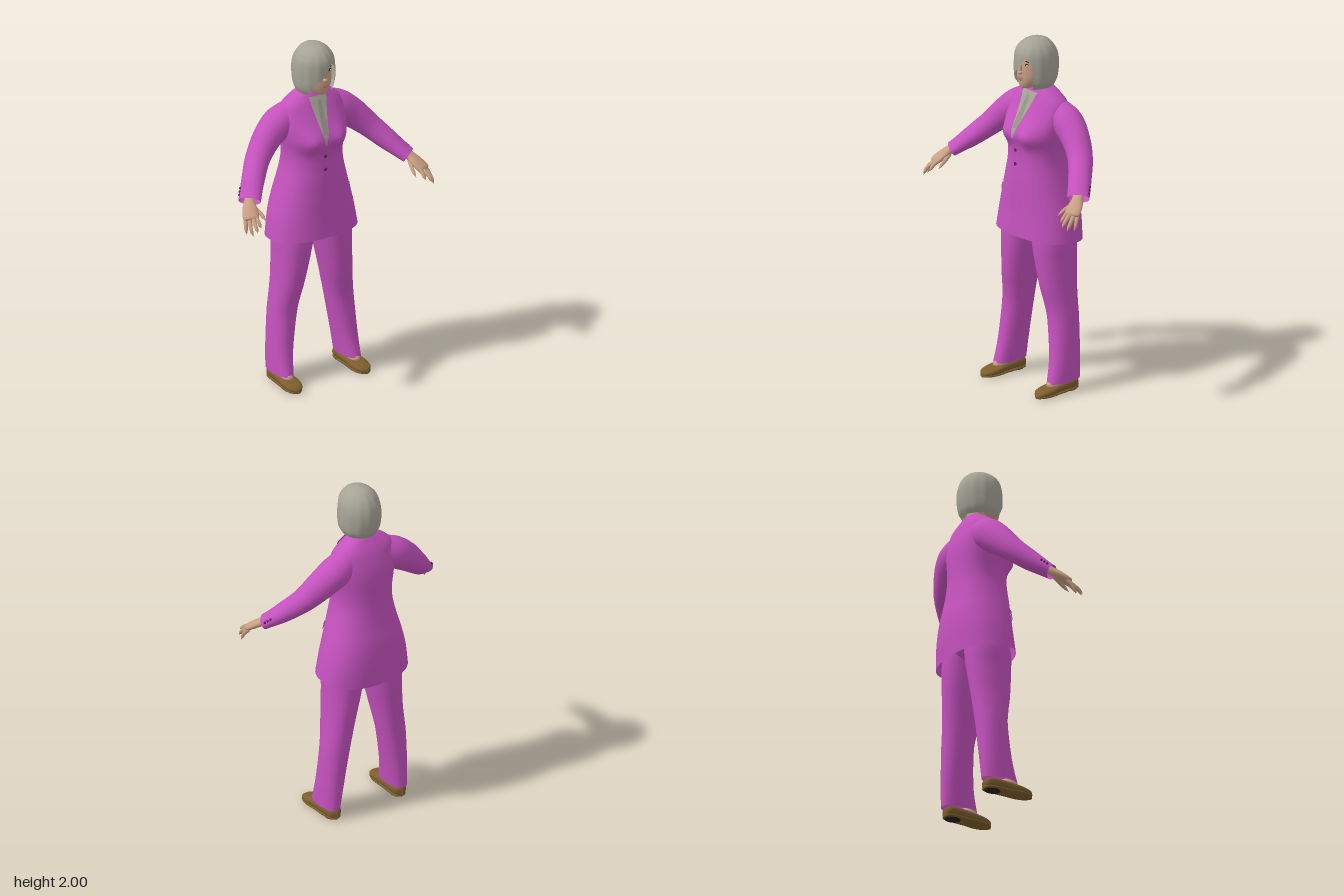
import * as THREE from 'three';

const mat = (name, color) => Object.assign(new THREE.MeshStandardMaterial({ color, side: THREE.DoubleSide }), { name });
const suit = mat('suit', 0xc552be), grey = mat('hairAndShirt', 0xa6a396), tieGrey = mat('tie', 0x959286),
  skin = mat('skin', 0xc99f84), leather = mat('leather', 0x7d5e2e), dark = mat('dark', 0x2a2020),
  button = mat('button', 0x5a2457), lip = mat('lips', 0xa66c60), white = mat('eyeWhite', 0xd8d0c8);

// Surface over (u, v) in 0..1; u runs round the section, v runs along the part
function grid(nu, nv, fn, closed = true) {
  const pos = [], idx = [], cols = closed ? nu : nu + 1;
  for (let j = 0; j <= nv; j++) for (let i = 0; i < cols; i++) pos.push(...fn(i / nu, j / nv));
  for (let j = 0; j < nv; j++) for (let i = 0; i < nu; i++) {
    const a = j * cols + i, b = j * cols + (i + 1) % cols, c = a + cols, d = b + cols;
    idx.push(a, c, b, b, c, d);
  }
  const g = new THREE.BufferGeometry();
  g.setAttribute('position', new THREE.Float32BufferAttribute(pos, 3));
  g.setIndex(idx);
  g.computeVertexNormals();
  return g;
}

// Smooth interpolation of profile rows, by row position v or by height y
function at(P, v) {
  const k = Math.min(v * (P.length - 1), P.length - 1.0001), i = Math.floor(k), t = k - i;
  const r = n => P[Math.max(0, Math.min(P.length - 1, n))];
  return P[0].map((_, c) => {
    const a = r(i - 1)[c], b = r(i)[c], d = r(i + 1)[c], e = r(i + 2)[c];
    return b + 0.5 * t * (d - a + t * (2 * a - 5 * b + 4 * d - e + t * (3 * (b - d) + e - a)));
  });
}
function atHeight(P, y) {
  let lo = 0, hi = 1;
  for (let n = 0; n < 22; n++) { const m = (lo + hi) / 2; if (at(P, m)[0] > y) lo = m; else hi = m; }
  return at(P, lo);
}
const pw = (v, e) => Math.sign(v) * Math.abs(v) ** e;
const TAU = Math.PI * 2;

// Tapered tube through points; radii rows are [horizontal, vertical]
function tubePoint(curve, radii, u, v) {
  const c = curve.getPoint(v), t = curve.getTangent(v), [rh, rv] = at(radii, v);
  const h = new THREE.Vector3(-t.z, 0, t.x).normalize(), w = h.clone().cross(t);
  return c.addScaledVector(h, rh * Math.cos(u * TAU)).addScaledVector(w, rv * Math.sin(u * TAU)).toArray();
}
const path = pts => new THREE.CatmullRomCurve3(pts.map(p => new THREE.Vector3(...p)));
const tube = (pts, radii, nu = 12, nv = 12) => {
  const c = path(pts);
  return grid(nu, nv, (u, v) => tubePoint(c, radii, u, v));
};
const ball = (x, y, z, rx, ry, rz) => new THREE.SphereGeometry(1, 16, 12).scale(rx, ry, rz).translate(x, y, z);

// Jacket rows: height, half width, front z, back z
const TORSO = [[1.72, .07, -.03, -.14], [1.695, .115, -.015, -.155], [1.65, .17, .005, -.18], [1.6, .188, .03, -.198],
  [1.55, .192, .058, -.212], [1.5, .188, .085, -.22], [1.45, .18, .097, -.222], [1.38, .167, .08, -.222],
  [1.3, .168, .08, -.226], [1.2, .19, .088, -.24], [1.1, .218, .092, -.258], [1, .245, .096, -.265], [.88, .266, .105, -.26]];
const E = 0.85;
const bust = (x, y) => 0.022 * Math.exp(-(((Math.abs(x) - .085) / .05) ** 2) - ((y - 1.46) / .06) ** 2);
function torsoPoint(u, v) {
  const [y, hw, zf, zb] = at(TORSO, v), a = u * TAU, c = Math.cos(a), x = hw * pw(Math.sin(a), E);
  const z = (zf + zb) / 2 + (zf - zb) / 2 * pw(c, E) + (c > 0 ? bust(x, y) * Math.min(1, c * 3) : 0);
  const hem = Math.min(1, Math.max(0, (1.1 - y) / .22));
  return [x, y - .035 * hem * (1 - c) / 2, z];
}
function frontZ(x, y) {
  const [, hw, zf, zb] = atHeight(TORSO, y);
  const s = Math.min(.999, Math.abs(x) / hw) ** (1 / E), c = Math.sqrt(1 - s * s);
  return (zf + zb) / 2 + (zf - zb) / 2 * c ** E + bust(x, y) * Math.min(1, c * 3);
}
// Thin panel lying on the jacket front; xy maps (u, v) to a place on it
const panel = (xy, off, nu = 8, nv = 16) => grid(nu, nv, (u, v) => {
  const [x, y] = xy(u, v);
  return [x, y, frontZ(x, y) + (typeof off === 'number' ? off : off(u))];
}, false);
const mix = THREE.MathUtils.lerp;

export function createModel() {
  const model = new THREE.Group();
  const add = (name, geo, m) => {
    const mesh = new THREE.Mesh(geo, m);
    mesh.name = name;
    model.add(mesh);
  };
  // Adds a part on the +x side and its mirror image
  const pair = (name, geo, m) => {
    add(name + 'Left', geo, m);
    const g = geo.clone().scale(-1, 1, 1), ix = g.index.array;
    for (let i = 0; i < ix.length; i += 3) [ix[i], ix[i + 1]] = [ix[i + 1], ix[i]];
    g.computeVertexNormals();
    add(name + 'Right', g, m);
  };

  // Jacket body
  add('jacket', grid(56, 60, torsoPoint), suit);
  add('frontOverlap', panel((u, v) => [mix(-.035, .04, u), mix(1.44, .885, v)], u => .007 * (1 - u) + .001), suit);
  // Shirt, tie and lapels in the neckline
  add('shirtFront', panel((u, v) => [mix(mix(-.058, -.024, v), mix(.058, -.014, v), u), mix(1.695, 1.435, v)], .004), grey);
  add('tie', panel((u, v) => [(u - .5) * (v < .12 ? .03 : mix(.022, .042, v)) - .01 * v, mix(1.675, 1.5, v)], .009), tieGrey);
  for (const s of [-1, 1]) add(s > 0 ? 'lapelLeft' : 'lapelRight', panel((u, v) => {
    const inner = mix(s * .058, -.019 + s * .005, v), wide = .06 * Math.min(1, (1 - v) * 1.7) * (v < .12 ? .6 + v * 3 : 1);
    return [inner + s * wide * u, mix(1.695, 1.43, v)];
  }, .01), suit);
  // Pockets, pocket square and buttons
  for (const s of [-1, 1]) add('pocketFlap', panel((u, v) => [s * mix(.06, .18, u), mix(1.14, 1.1, v)], .008), suit);
  add('breastPocket', panel((u, v) => [mix(.05, .15, u), mix(1.51, 1.488, v) + .012 * u], .009), suit);
  add('pocketSquare', panel((u, v) => [mix(.055, .14, u), 1.51 + .01 * u + (1 - v) * .025 * Math.abs(Math.sin(u * 8))], .006, 20, 3), suit);
  for (const y of [1.37, 1.29]) add('jacketButton', ball(-.013, y, frontZ(-.013, y) + .007, .01, .01, .005), button);

  // Sleeves with cuff buttons
  const arm = path([[.1, 1.585, -.1], [.19, 1.545, -.105], [.27, 1.487, -.092], [.36, 1.4, -.052], [.44, 1.315, .02], [.515, 1.238, .1]]);
  const armR = [[.075, .085], [.088, .09], [.08, .083], [.07, .067], [.064, .055], [.062, .038]];
  pair('sleeve', grid(24, 36, (u, v) => tubePoint(arm, armR, u, v)), suit);
  for (const v of [.9, .93, .96]) {
    const p = tubePoint(arm, armR, .44, v);
    pair('cuffButton', ball(...p, .007, .007, .007), button);
  }

  // Hands
  pair('palm', tube([[.49, 1.265, .075], [.52, 1.238, .108], [.54, 1.21, .145], [.56, 1.178, .188], [.563, 1.172, .196]],
    [[.03, .024], [.031, .023], [.043, .022], [.042, .017], [.004, .004]], 16, 16), skin);
  const fingers = [[[.51, 1.215, .12], [.493, 1.19, .175], [.486, 1.16, .224]], [[.53, 1.19, .185], [.534, 1.165, .222], [.533, 1.14, .245]],
    [[.55, 1.18, .19], [.562, 1.153, .235], [.566, 1.125, .264]], [[.567, 1.176, .178], [.583, 1.143, .218], [.586, 1.105, .245]],
    [[.578, 1.18, .16], [.594, 1.145, .185], [.6, 1.1, .203]]];
  for (const f of fingers) pair('finger', tube(f, [[.012, .012], [.012, .012], [.0105, .0105], [.009, .009], [.001, .001]], 8, 12), skin);

  // Trouser legs: height, inner x, outer x, front z, back z
  const LEG = [[1.02, -.01, .19, .04, -.2], [.88, .012, .226, .055, -.205], [.75, .038, .23, .05, -.2], [.6, .07, .238, .034, -.187],
    [.5, .09, .249, .014, -.18], [.4, .11, .26, .004, -.176], [.2, .145, .271, .02, -.17], [.065, .165, .272, .052, -.165]];
  pair('trouserLeg', grid(28, 40, (u, v) => {
    const [y, xi, xo, zf, zb] = at(LEG, v), a = u * TAU;
    return [(xi + xo) / 2 + (xo - xi) / 2 * pw(Math.sin(a), .9), y, (zf + zb) / 2 + (zf - zb) / 2 * pw(Math.cos(a), .9)];
  }), suit);
  add('hips', ball(0, .98, -.08, .2, .12, .13), suit);

  // Shoes: z, half width, height
  const SHOE = [[.142, .002, .018], [.135, .022, .03], [.11, .043, .042], [.06, .053, .052], [0, .048, .062], [-.09, .046, .07], [-.14, .036, .062], [-.157, .002, .04]];
  const shoeX = z => .218 + z * .03;
  pair('shoe', grid(20, 28, (u, v) => {
    const [z, hw, h] = at(SHOE, v), a = u * TAU;
    return [shoeX(z) + hw * pw(Math.cos(a), .8), .01 + (h - .01) * (.5 + .5 * pw(Math.sin(a), .7)), z];
  }), leather);
  pair('sole', grid(20, 28, (u, v) => {
    const [z, hw] = at(SHOE, v), a = u * TAU;
    return [shoeX(z) + hw * .95 * pw(Math.cos(a), .6), .01 + .008 * pw(Math.sin(a), .6), z];
  }), leather);
  pair('heel', new THREE.CylinderGeometry(.04, .038, .016, 20).scale(1, 1, 1.25).translate(.215, .01, -.1), leather);
  pair('heelPad', new THREE.CylinderGeometry(.037, .037, .004, 20).scale(1, 1, 1.25).translate(.215, .002, -.1), dark);
  pair('foot', ball(.218, .055, 0, .036, .035, .06), skin);

  // Neck and shirt collar
  add('neck', new THREE.CylinderGeometry(.05, .056, .17, 24).translate(0, 1.715, -.075), skin);
  add('shirtCollar', grid(32, 4, (u, v) => {
    const a = u * TAU, c = Math.cos(a), r = mix(.056, .07, v);
    return [r * Math.sin(a), mix(1.715 - .02 * c, 1.665 - .015 * c, v), -.078 + r * .95 * c];
  }), grey);
  for (const s of [-1, 1]) add('collarPoint', panel((u, v) => [s * (mix(.004, .05, u) + v * .012 * (1 - u)), mix(1.69, mix(1.645, 1.67, u), v)], .013), grey);

  // Head and face: height, half width, front z, back z
  const HEAD = [[1.965, .002, -.04, -.06], [1.95, .05, .015, -.11], [1.91, .083, .048, -.14], [1.87, .091, .056, -.15], [1.82, .088, .06, -.14],
    [1.78, .077, .061, -.11], [1.745, .055, .057, -.08], [1.725, .03, .047, -.05], [1.718, .002, .01, -.03]];
  add('head', grid(32, 36, (u, v) => {
    const [y, hw, zf, zb] = at(HEAD, v), a = u * TAU;
    return [hw * Math.sin(a), y, (zf + zb) / 2 + (zf - zb) / 2 * Math.cos(a)];
  }), skin);
  const faceZ = (x, y) => {
    const [, hw, zf, zb] = atHeight(HEAD, y);
    return (zf + zb) / 2 + (zf - zb) / 2 * Math.sqrt(Math.max(0, 1 - (x / hw) ** 2));
  };
  const feature = (name, x, y, rx, ry, rz, m, off = 0) => add(name, ball(x, y, faceZ(x, y) + off, rx, ry, rz), m);
  feature('noseBridge', 0, 1.84, .009, .03, .01, skin);
  feature('noseTip', 0, 1.818, .014, .011, .018, skin);
  feature('upperLip', 0, 1.786, .021, .004, .006, lip);
  feature('lowerLip', 0, 1.777, .018, .005, .006, lip);
  for (const s of [-1, 1]) {
    feature('eyeWhite', s * .034, 1.864, .014, .006, .004, white);
    feature('iris', s * .034, 1.864, .006, .006, .003, dark, .002);
    feature('eyelid', s * .035, 1.871, .016, .0025, .005, dark);
    feature('eyebrow', s * .036, 1.886, .019, .003, .004, dark);
  }

  // Bob hair: height, half width, front z, back z, then the angles of the face opening's edges
  const HAIR = [[2, .001, -.05, -.052, .35, .35], [1.99, .045, .005, -.105, .35, .35], [1.965, .08, .042, -.142, .35, .35], [1.935, .1, .062, -.163, .35, .35],
    [1.91, .109, .069, -.174, .36, .34], [1.88, .114, .072, -.181, .66, .17], [1.85, .116, .073, -.183, .72, 0], [1.82, .116, .073, -.182, .74, -.27],
    [1.79, .115, .071, -.178, .72, -.55], [1.755, .109, .065, -.17, .7, -.8], [1.725, .094, .05, -.152, .72, -.92]];
  add('hair', grid(72, 44, (u, v) => {
    const [y, hw, zf, zb, aL, aR] = at(HAIR, v), a = mix(aL, aR + TAU, u), k = 1 + .01 * Math.sin(a * 13);
    return [k * hw * Math.sin(a), y, (zf + zb) / 2 + k * (zf - zb) / 2 * Math.cos(a)];
  }, false), grey);
  return model;
}
